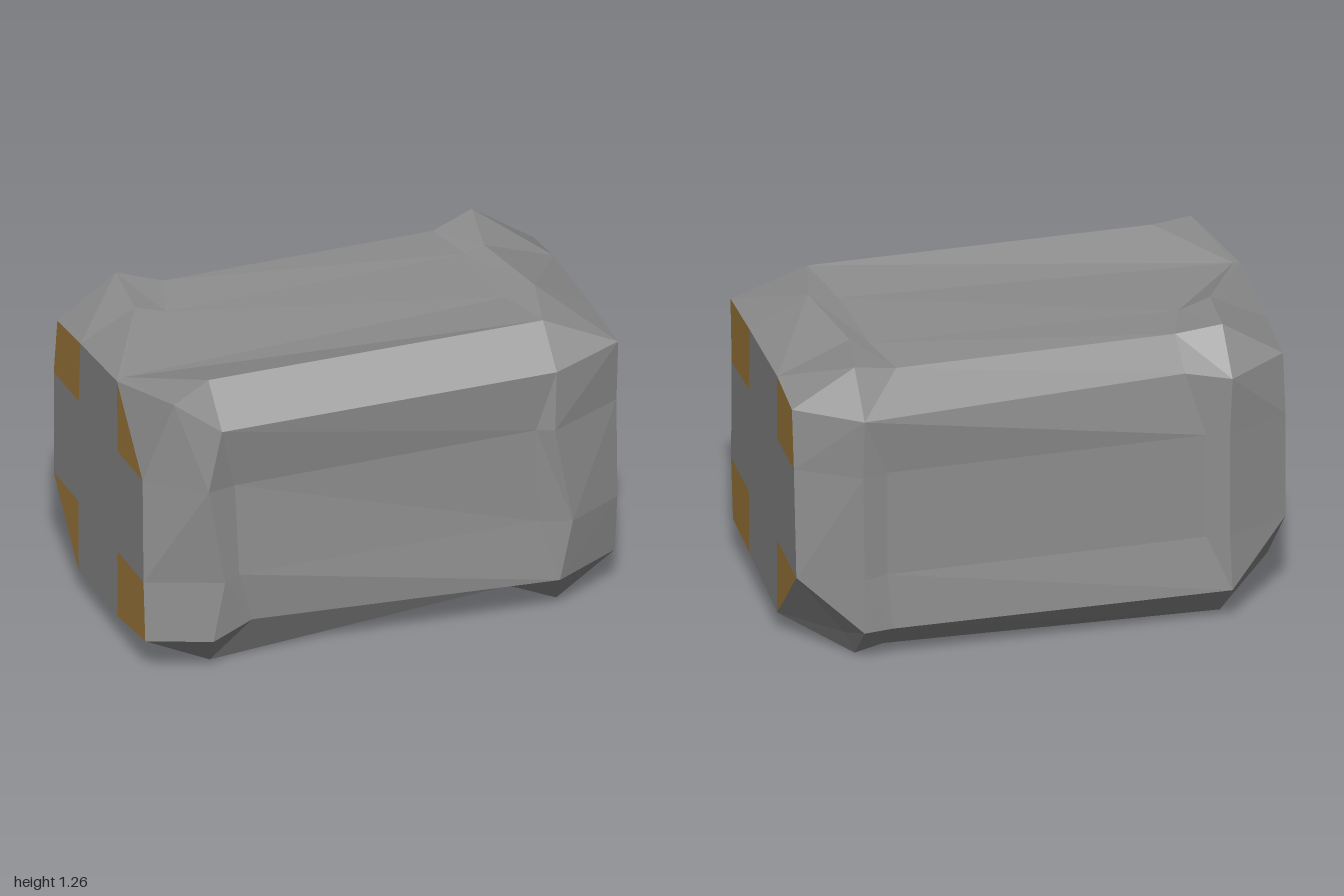
import * as THREE from 'three';

// Points are [z, y] running clockwise as seen from +x, starting at the top front.
const RING = [
  [0.465, 1.25], [0.2, 1.26], [-0.2, 1.25], [-0.47, 1.265],
  [-0.63, 1.1], [-0.628, 0.85], [-0.628, 0.4], [-0.63, 0.165],
  [-0.47, 0.003], [-0.2, 0.03], [0.2, 0.02], [0.48, 0.003],
  [0.63, 0.165], [0.628, 0.42], [0.63, 0.84], [0.62, 1.095],
];

// Shallow groove along the middle of each long side: ring index to [z, y, x]
const GROOVE = {
  1: [0.2, 1.23, 0.64], 2: [-0.2, 1.225, 0.62], 5: [-0.6, 0.85, 0.65], 6: [-0.6, 0.4, 0.65],
  9: [-0.2, 0.05, 0.62], 10: [0.2, 0.045, 0.62], 13: [0.6, 0.43, 0.63], 14: [0.6, 0.84, 0.62],
};

// Each end: shoulder x positions and moved points, dents behind the shoulder,
// end face outline, cut-off corners [x, z, y].
const ENDS = {
  right: {
    side: -1,
    shoulder: [0.71, 0.97, 0.77, 0.75, 0.75, 0.74, 0.74, 0.75, 0.74, 0.74, 0.74, 0.71, 0.75, 0.7, 0.77, 0.71],
    moved: { 1: [0.2, 1.178] },
    dents: {
      ...GROOVE, 1: null, 2: [-0.2, 1.205, 0.64], 14: [0.575, 0.82, 0.64],
      3: [-0.42, 1.22, 0.57], 4: [-0.575, 1.12, 0.57], 12: [0.585, 0.21, 0.57],
    },
    face: [[0.5, 1.12], [0.21, 1.17], [-0.2, 1.13], [-0.46, 1.1], [-0.5, 0.85], [-0.5, 0.4],
      [-0.5, 0.15], [-0.22, 0.1], [0.22, 0.12], [0.53, 0.165], [0.51, 0.42], [0.5, 0.87]],
    cuts: { 0: [0.89, 0.56, 1.22], 6: [0.8, -0.51, 0.12] },
  },
  left: {
    side: 1,
    shoulder: [0.7, 0.765, 0.7, 0.75, 0.75, 0.755, 0.75, 0.75, 0.75, 0.74, 0.74, 0.75, 0.71, 0.765, 0.69, 0.7],
    moved: {},
    dents: {
      ...GROOVE, 3: [-0.43, 1.22, 0.57], 7: [-0.615, 0.165, 0.63], 8: [-0.46, 0.025, 0.63],
      11: [0.42, 0.06, 0.57],
    },
    face: [[0.51, 1.12], [0.21, 1.13], [-0.22, 1.135], [-0.45, 1.1], [-0.48, 0.85], [-0.52, 0.39],
      [-0.47, 0.16], [-0.22, 0.09], [0.22, 0.14], [0.47, 0.165], [0.5, 0.42], [0.49, 0.85]],
    cuts: { 6: [0.8, -0.51, 0.12] },
  },
};

// Builds a flat-sided mesh from a list of triangles
function triMesh(tris, material, name) {
  const geometry = new THREE.BufferGeometry();
  geometry.setAttribute('position', new THREE.Float32BufferAttribute(tris.flat(2), 3));
  geometry.computeVertexNormals();
  const mesh = new THREE.Mesh(geometry, material);
  mesh.name = name;
  return mesh;
}

// True when splitting quad a-d-c-b along b-d would leave a hollow fold
function isHollow(a, b, c, d) {
  const [va, vb, vc, vd] = [a, b, c, d].map((p) => new THREE.Vector3(...p));
  const normal = vd.sub(va).cross(vb.sub(va));
  return normal.dot(vc.sub(va)) > 0;
}

// Three loops for one end: face outline, shoulder and inner ring
function endLoops({ side, shoulder, moved, dents, face, cuts }) {
  const outline = face.map(([z, y], i) => {
    const [cx, cz, cy] = cuts[i] ?? [1, z, y];
    return [side * cx, cy, cz];
  });
  const rim = RING.map((p, i) => {
    const [z, y] = moved[i] ?? p;
    return [side * shoulder[i], y, z];
  });
  return {
    outline,
    // the 12-point outline shares each corner between two ring points
    cap: RING.map((_, i) => outline[(i - Math.floor(i / 4)) % 12]),
    shoulder: rim,
    // where there is no dent the inner ring merges with the shoulder
    inner: rim.map((p, i) => {
      if (!dents[i]) return p;
      const [z, y, x] = dents[i];
      return [side * x, y, z];
    }),
  };
}

// End face as a 3 x 3 grid with coloured corner cells
function endFace({ side, cuts }, outline) {
  const o = outline;
  const mid = (z, y) => [side, y, z];
  const grid = [
    [o[0], o[1], o[2], o[3]],
    [o[11], mid(0.22, 0.86), mid(-0.22, 0.86), o[4]],
    [o[10], mid(0.22, 0.41), mid(-0.22, 0.41), o[5]],
    [o[9], o[8], o[7], o[6]],
  ];
  const stone = [], patches = [];
  const add = (list, a, b, c) => list.push(side > 0 ? [a, c, b] : [a, b, c]);
  for (let r = 0; r < 3; r++) {
    for (let c = 0; c < 3; c++) {
      const quad = [grid[r][c], grid[r][c + 1], grid[r + 1][c + 1], grid[r + 1][c]];
      const isCorner = r !== 1 && c !== 1;
      const start = !isCorner ? 0 : r === 0 ? (c === 0 ? 0 : 1) : (c === 2 ? 2 : 3);
      const [p, q, s, t] = [0, 1, 2, 3].map((k) => quad[(start + k) % 4]);
      const isCut = isCorner && cuts[start * 3] !== undefined;
      add(isCorner ? patches : stone, q, s, t);
      add(isCorner && !isCut ? patches : stone, p, q, t);
    }
  }
  return { stone, patches };
}

export function createModel() {
  const group = new THREE.Group();
  group.name = 'stoneBlock';
  const grey = new THREE.MeshStandardMaterial({ color: 0x8d8d8d });
  grey.name = 'stone grey';
  const brown = new THREE.MeshStandardMaterial({ color: 0xa47d3f });
  brown.name = 'ochre brown';

  const right = endLoops(ENDS.right);
  const left = endLoops(ENDS.left);

  // Body skin lofted along x, skipping merged points; the end bevels always fold outwards
  const loops = [right.cap, right.shoulder, right.inner, left.inner, left.shoulder, left.cap];
  const skin = [];
  for (let s = 0; s < loops.length - 1; s++) {
    const isBevel = s === 0 || s === 4;
    for (let i = 0; i < 16; i++) {
      const j = (i + 1) % 16;
      const a = loops[s][i], b = loops[s][j], c = loops[s + 1][j], d = loops[s + 1][i];
      const flip = isBevel && isHollow(a, b, c, d);
      for (const tri of flip ? [[a, d, c], [a, c, b]] : [[a, d, b], [d, c, b]]) {
        if (new Set(tri).size === 3) skin.push(tri);
      }
    }
  }
  group.add(triMesh(skin, grey, 'body'));

  // End faces with their corner patches
  for (const [name, loop] of [['right', right], ['left', left]]) {
    const { stone, patches } = endFace(ENDS[name], loop.outline);
    group.add(triMesh(stone, grey, `${name}EndFace`));
    group.add(triMesh(patches, brown, `${name}CornerPatches`));
  }
  return group;
}
